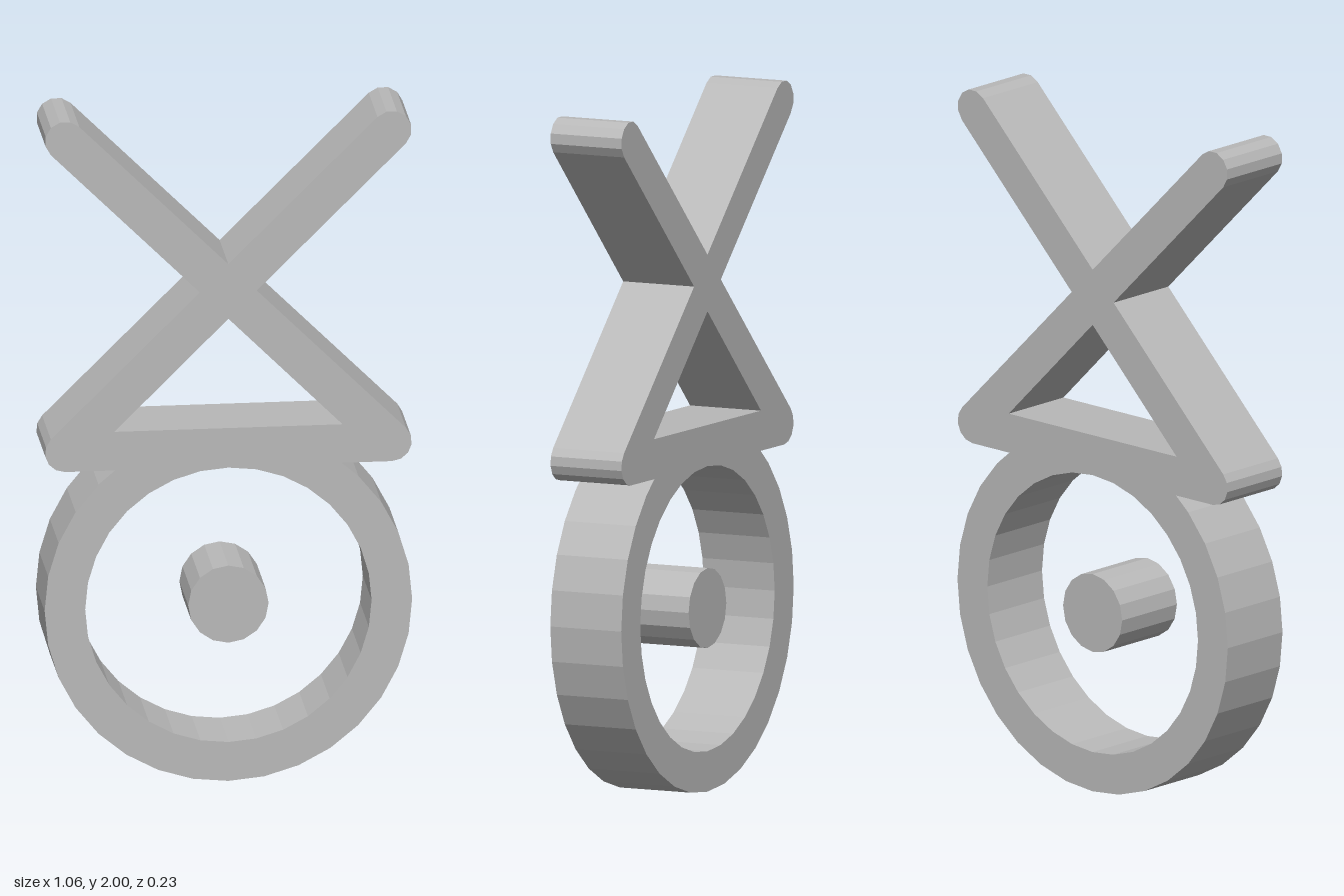
import * as THREE from 'three';

const DEPTH = 0.23;
const RING = { y: 0.53, outer: 0.53, inner: 0.413 };
const ARM = { x: 0.471, top: 1.942, bottom: 1.004, r: 0.058 };

// Points along an arc, angles in degrees, ends included
function arc(cx, cy, r, from, to, steps) {
  return Array.from({ length: steps + 1 }, (_, i) => {
    const a = THREE.MathUtils.degToRad(from + ((to - from) * i) / steps);
    return new THREE.Vector2(cx + r * Math.cos(a), cy + r * Math.sin(a));
  });
}

const circle = (cx, cy, r, sides) => arc(cx, cy, r, 0, 360, sides).slice(0, -1);

// Faceted slab centred on z = 0
function slab(name, shape, material) {
  const geometry = new THREE.ExtrudeGeometry(shape, { depth: DEPTH, bevelEnabled: false });
  geometry.translate(0, 0, -DEPTH / 2);
  const mesh = new THREE.Mesh(geometry, material);
  mesh.name = name;
  return mesh;
}

export function createModel() {
  const group = new THREE.Group();
  group.name = 'crossedRingSymbol';
  const grey = new THREE.MeshStandardMaterial({ color: 0xb8b8b8 });
  grey.name = 'grey';

  const crossY = (ARM.top + ARM.bottom) / 2;
  const notch = ARM.r * Math.SQRT2;
  const barBottom = ARM.bottom - ARM.r;
  const barTop = ARM.bottom + ARM.r;
  const meet = Math.sqrt(RING.outer ** 2 - (barBottom - RING.y) ** 2) - 0.002;

  // Right half of the outline, from the top notch down to where bar meets ring
  const right = [
    new THREE.Vector2(0, crossY + notch),
    ...arc(ARM.x, ARM.top, ARM.r, 135, -45, 6),
    new THREE.Vector2(notch, crossY),
    ...arc(ARM.x, ARM.bottom, ARM.r, 45, -90, 5),
    new THREE.Vector2(meet, barBottom),
  ];
  const left = right.slice(1).reverse().map((p) => new THREE.Vector2(-p.x, p.y));

  // Crossed arms, bar and ring as one slab
  const frame = new THREE.Shape([
    ...right,
    ...arc(0, RING.y, RING.outer, 45, -225, 24),
    ...left,
  ]);
  const apex = crossY - notch;
  const base = apex - barTop;
  frame.holes.push(
    new THREE.Path([
      new THREE.Vector2(0, apex),
      new THREE.Vector2(-base, barTop),
      new THREE.Vector2(base, barTop),
    ]),
    new THREE.Path(circle(0, RING.y, RING.inner, 32)),
  );
  group.add(slab('crossAndRingFrame', frame, grey));

  // Free centre disc
  group.add(slab('centreDisc', new THREE.Shape(circle(0, RING.y + 0.002, 0.116, 16)), grey));

  return group;
}
